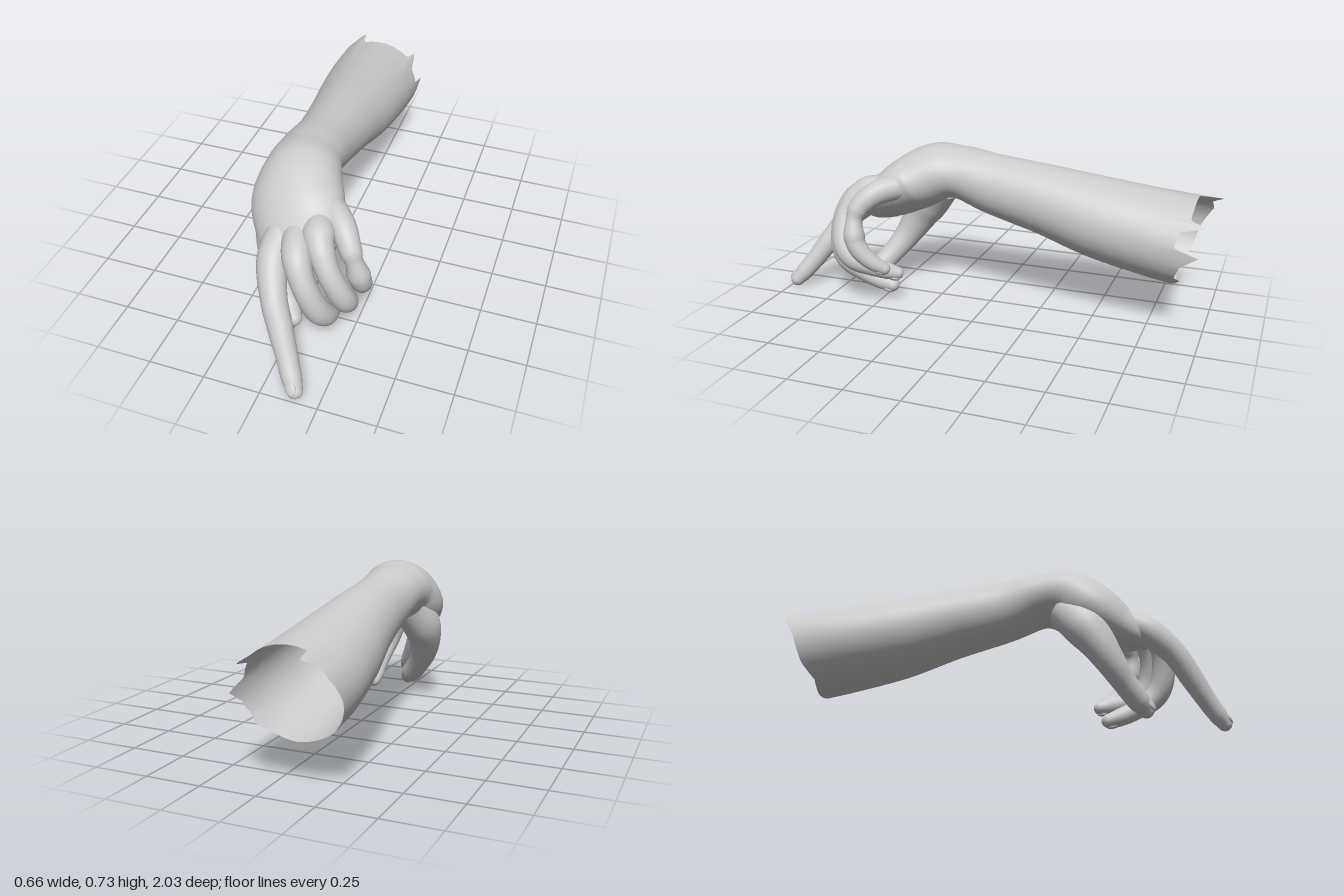
import * as THREE from 'three';

const skin = new THREE.MeshStandardMaterial({ color: 0xcccccc, side: THREE.DoubleSide });

// Smooth path through stations [x, y, z, halfWidth, halfHeight, roll]; returns the frame at t
function makePath(stations) {
  const centre = new THREE.CatmullRomCurve3(stations.map(s => new THREE.Vector3(s[0], s[1], s[2])));
  const size = new THREE.CatmullRomCurve3(stations.map(s => new THREE.Vector3(s[3], s[4], s[5])));
  return t => {
    const T = centre.getTangent(t);
    const s = size.getPoint(t);
    const V = new THREE.Vector3().crossVectors(T, new THREE.Vector3(Math.cos(s.z), Math.sin(s.z), 0)).normalize();
    const U = new THREE.Vector3().crossVectors(V, T);
    return { c: centre.getPoint(t), T, U, V, w: s.x, h: s.y };
  };
}

// Skin of elliptical sections along a path, closed by a round cap at its far end
function loft(name, path, rows, segments, warp) {
  const rings = [];
  for (let i = 0; i <= rows; i++) rings.push(path(i / rows));
  const end = rings[rows];
  for (let k = 1; k <= 7; k++) {
    const a = (k / 7) * Math.PI / 2, f = Math.max(Math.cos(a), 0.001);
    rings.push({
      ...end, w: end.w * f, h: end.h * f,
      c: end.c.clone().addScaledVector(end.T, end.h * Math.sin(a)),
    });
  }
  const pos = [], idx = [];
  rings.forEach((r, i) => {
    for (let j = 0; j < segments; j++) {
      const a = (j / segments) * Math.PI * 2;
      const p = r.c.clone()
        .addScaledVector(r.U, r.w * Math.cos(a))
        .addScaledVector(r.V, r.h * Math.sin(a));
      if (warp) warp(p, a);
      pos.push(p.x, p.y, p.z);
      if (i === rings.length - 1) continue;
      const j2 = (j + 1) % segments;
      const A = i * segments + j, B = i * segments + j2, C = B + segments, D = A + segments;
      idx.push(A, B, D, B, C, D);
    }
  });
  const geo = new THREE.BufferGeometry();
  geo.setAttribute('position', new THREE.Float32BufferAttribute(pos, 3));
  geo.setIndex(idx);
  geo.computeVertexNormals();
  const mesh = new THREE.Mesh(geo, skin);
  mesh.name = name;
  return mesh;
}

// Torn rim of the forearm: [degrees around the section, z of the rim]
const TORN = [
  [0, -0.97], [10, -0.86], [30, -0.87], [38, -0.98], [46, -0.9], [112, -0.9], [118, -1],
  [135, -0.95], [150, -0.96], [180, -0.92], [215, -0.9], [240, -0.86], [270, -0.88],
  [300, -0.87], [318, -0.91], [325, -0.88], [345, -0.9], [360, -0.97],
];
function tear(p, angle) {
  if (p.z > -0.7) return;
  const d = THREE.MathUtils.radToDeg(angle);
  const k = TORN.findIndex(e => e[0] > d);
  const [d0, z0] = TORN[k - 1], [d1, z1] = TORN[k];
  const rim = z0 + (z1 - z0) * (d - d0) / (d1 - d0);
  p.z = -0.7 + (p.z + 0.7) * (rim + 0.7) / -0.2;
}

// Forearm, bent wrist and palm in one sweep
const ARM = [
  [-0.105, 0.385, -0.9, 0.225, 0.2, 0],
  [-0.105, 0.405, -0.75, 0.222, 0.198, 0],
  [-0.095, 0.45, -0.5, 0.2, 0.187, 0],
  [-0.085, 0.51, -0.25, 0.165, 0.162, 0],
  [-0.08, 0.56, 0, 0.142, 0.142, 0],
  [-0.08, 0.603, 0.17, 0.148, 0.123, 0],
  [-0.07, 0.6, 0.28, 0.17, 0.136, 0.05],
  [-0.05, 0.54, 0.4, 0.205, 0.135, 0.2],
  [-0.005, 0.485, 0.5, 0.192, 0.11, 0.33],
  [0.04, 0.455, 0.58, 0.165, 0.08, 0.42],
  [0.06, 0.445, 0.62, 0.125, 0.05, 0.42],
];

// Digits from inside the palm to the tip: roll, then stations [x, y, z, radius]
const DIGITS = {
  thumb: [0.93, [
    [-0.12, 0.52, 0.29, 0.09], [-0.155, 0.42, 0.37, 0.097], [-0.155, 0.33, 0.43, 0.082],
    [-0.13, 0.24, 0.485, 0.066], [-0.08, 0.16, 0.54, 0.055], [-0.03, 0.1, 0.59, 0.052],
    [0.003, 0.066, 0.622, 0.037]]],
  indexFinger: [0.4, [
    [-0.06, 0.49, 0.52, 0.07], [-0.065, 0.42, 0.65, 0.068], [-0.02, 0.32, 0.765, 0.057],
    [0.035, 0.22, 0.835, 0.053], [0.085, 0.13, 0.895, 0.046], [0.12, 0.07, 0.94, 0.043],
    [0.143, 0.035, 0.968, 0.034]]],
  middleFinger: [0.4, [
    [0, 0.51, 0.52, 0.06], [0.04, 0.475, 0.655, 0.062], [0.085, 0.39, 0.712, 0.053],
    [0.14, 0.25, 0.705, 0.055], [0.16, 0.185, 0.665, 0.053], [0.155, 0.13, 0.58, 0.046],
    [0.14, 0.09, 0.5, 0.042], [0.13, 0.073, 0.45, 0.033]]],
  ringFinger: [0.4, [
    [0.07, 0.54, 0.47, 0.06], [0.12, 0.51, 0.6, 0.06], [0.175, 0.42, 0.655, 0.05],
    [0.232, 0.29, 0.645, 0.052], [0.238, 0.225, 0.6, 0.049], [0.2, 0.18, 0.52, 0.043],
    [0.165, 0.155, 0.45, 0.04], [0.15, 0.145, 0.415, 0.031]]],
  littleFinger: [0.4, [
    [0.09, 0.56, 0.41, 0.065], [0.185, 0.535, 0.5, 0.057], [0.245, 0.46, 0.565, 0.047],
    [0.28, 0.335, 0.56, 0.047], [0.28, 0.28, 0.53, 0.044], [0.265, 0.23, 0.48, 0.038],
    [0.245, 0.2, 0.435, 0.03]]],
};

// Thin oval nail lying on the back of a fingertip
function nail(name, path) {
  const f = path(0.95);
  const mesh = new THREE.Mesh(new THREE.SphereGeometry(1, 20, 12), skin);
  mesh.name = name;
  mesh.scale.set(f.w * 0.68, 0.011, f.w * 0.9);
  mesh.quaternion.setFromRotationMatrix(new THREE.Matrix4().makeBasis(f.U, f.V, f.T));
  mesh.position.copy(f.c).addScaledVector(f.V, f.h - 0.006);
  return mesh;
}

export function createModel() {
  const model = new THREE.Group();
  model.name = 'pointingHand';
  model.add(loft('forearmAndPalm', makePath(ARM), 80, 120, tear));

  for (const [name, [roll, stations]] of Object.entries(DIGITS)) {
    const path = makePath(stations.map(([x, y, z, r]) => [x, y, z, r, r * 0.97, roll]));
    const digit = new THREE.Group();
    digit.name = name;
    digit.add(loft(name + 'Flesh', path, 48, 32), nail(name + 'Nail', path));
    model.add(digit);
  }
  return model;
}
